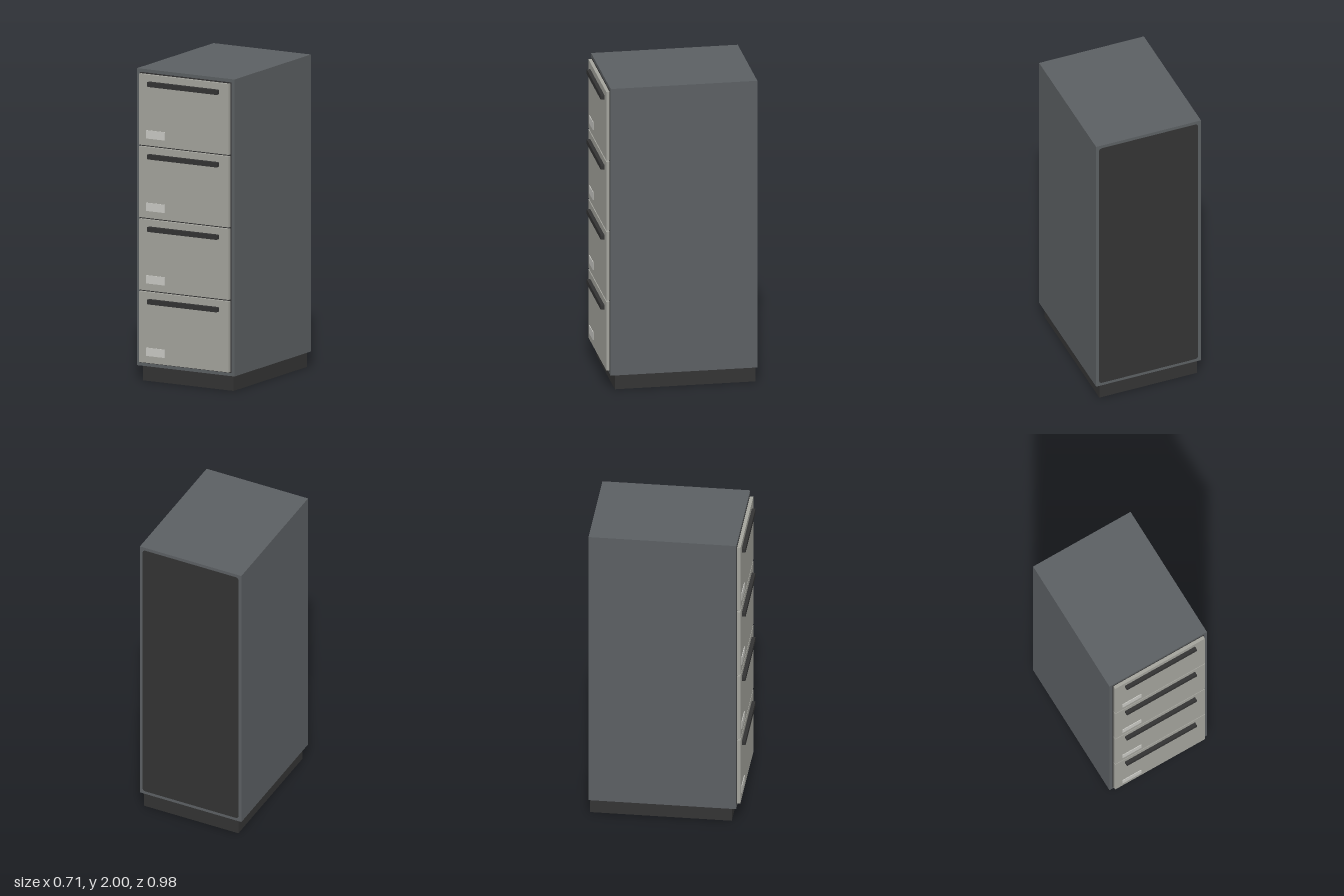
import * as THREE from 'three';

// Four-drawer filing cabinet
export function createModel() {
  const model = new THREE.Group();
  model.name = 'filingCabinet';

  const material = (name, color) => {
    const m = new THREE.MeshStandardMaterial({ color });
    m.name = name;
    return m;
  };
  const steel = material('slate grey steel', 0x5b5f62);
  const front = material('warm grey front', 0xa3a39c);
  const dark = material('dark trim', 0x333333);
  const paper = material('pale label', 0xc8c8c3);

  // Box given by its extents on each axis
  const box = (parent, name, mat, [x0, x1], [y0, y1], [z0, z1]) => {
    const mesh = new THREE.Mesh(new THREE.BoxGeometry(x1 - x0, y1 - y0, z1 - z0), mat);
    mesh.position.set((x0 + x1) / 2, (y0 + y1) / 2, (z0 + z1) / 2);
    mesh.name = name;
    parent.add(mesh);
  };

  // Plate with rounded corners, centred on x, extruded along z
  const roundedPlate = (parent, name, mat, w, [y0, y1], [z0, z1], r) => {
    const x = w / 2;
    const y = (y1 - y0) / 2;
    const s = new THREE.Shape();
    s.absarc(x - r, y - r, r, 0, Math.PI / 2);
    s.absarc(-x + r, y - r, r, Math.PI / 2, Math.PI);
    s.absarc(-x + r, -y + r, r, Math.PI, Math.PI * 1.5);
    s.absarc(x - r, -y + r, r, Math.PI * 1.5, Math.PI * 2);
    const geo = new THREE.ExtrudeGeometry(s, { depth: z1 - z0, bevelEnabled: false, curveSegments: 4 });
    const mesh = new THREE.Mesh(geo, mat);
    mesh.position.set(0, (y0 + y1) / 2, z0);
    mesh.name = name;
    parent.add(mesh);
  };

  // Carcass on a recessed plinth
  box(model, 'plinth', dark, [-0.331, 0.331], [0, 0.1], [-0.481, 0.414]);
  box(model, 'cabinetBody', steel, [-0.356, 0.356], [0.1, 2], [-0.489, 0.445]);

  // Dark reveal behind the drawers and the back panel
  box(model, 'drawerReveal', dark, [-0.334, 0.334], [0.12, 1.979], [0.443, 0.4465]);
  roundedPlate(model, 'backPanel', dark, 0.672, [0.121, 1.979], [-0.491, -0.487], 0.02);

  // Drawers with handle and label
  const pitch = 0.4637;
  for (let i = 0; i < 4; i++) {
    const y = 0.127 + i * pitch;
    const drawer = new THREE.Group();
    drawer.name = `drawer${i + 1}`;
    box(drawer, 'drawerFront', front, [-0.328, 0.328], [y, y + 0.453], [0.445, 0.468]);
    roundedPlate(drawer, 'handle', dark, 0.512, [y + 0.38, y + 0.411], [0.468, 0.491], 0.005);
    box(drawer, 'label', paper, [-0.276, -0.139], [y + 0.045, y + 0.098], [0.467, 0.472]);
    model.add(drawer);
  }

  return model;
}
